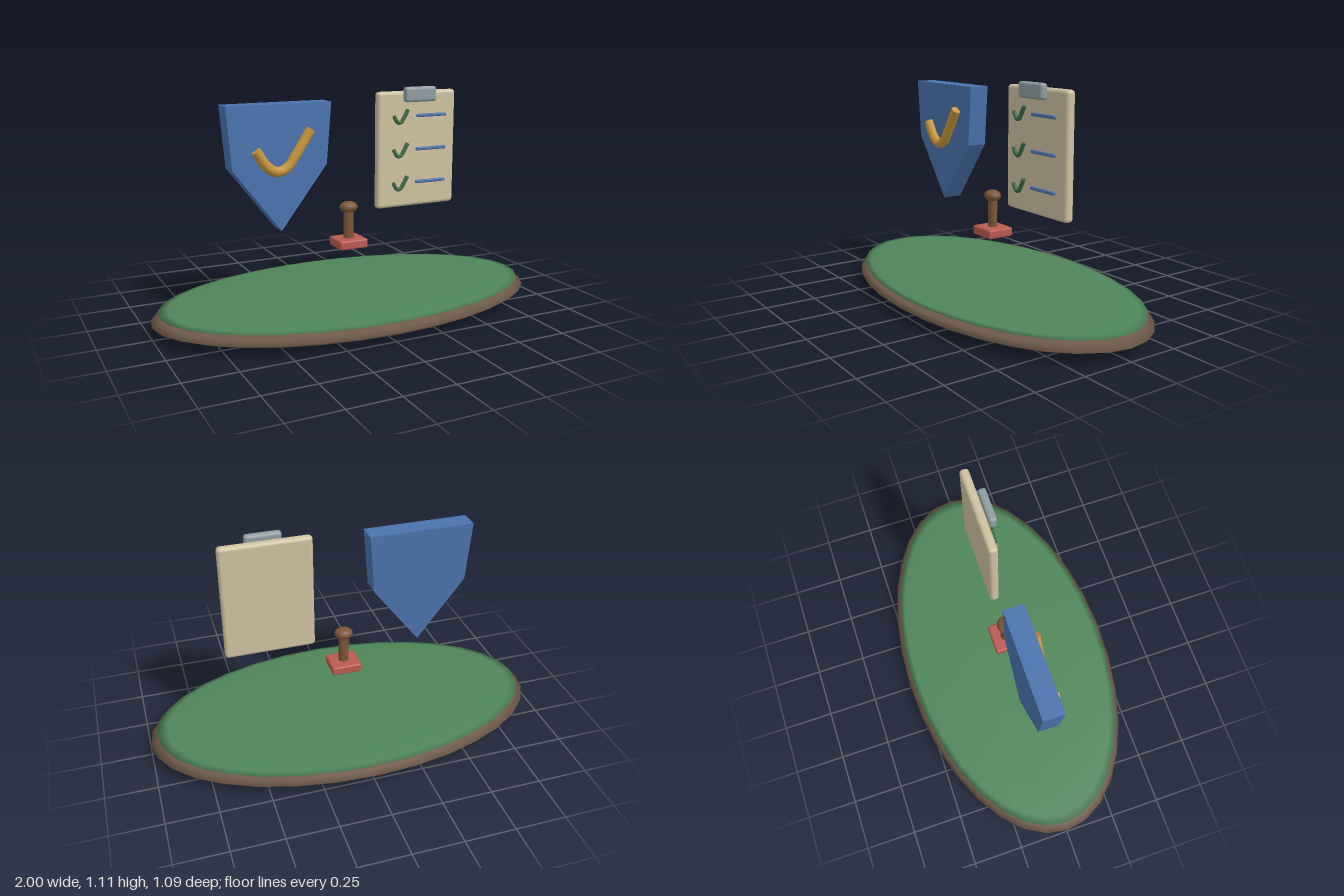
import * as THREE from 'three';
import { RoundedBoxGeometry } from 'three/addons/geometries/RoundedBoxGeometry.js';

export function createModel() {
  const model = new THREE.Group();
  const mat = (color) => new THREE.MeshStandardMaterial({ color });
  const brown = mat(0x6f5a48), green = mat(0x4f8558), blue = mat(0x4a72ad), gold = mat(0xc8963c);
  const cream = mat(0xcfc1a0), steel = mat(0x8f9da1), red = mat(0xb95a50), wood = mat(0x7d5538);
  const darkGreen = mat(0x3f6b45);

  const add = (name, geometry, material, x, y, z, parent = model) => {
    const mesh = new THREE.Mesh(geometry, material);
    mesh.name = name;
    mesh.position.set(x, y, z);
    parent.add(mesh);
    return mesh;
  };
  const group = (name) => {
    const g = new THREE.Group();
    g.name = name;
    model.add(g);
    return g;
  };
  const ellipsoid = (rx, ry, rz, w, h) => new THREE.SphereGeometry(1, w, h).scale(rx, ry, rz);

  // Tick mark tube with closed ends; origin at the bottom of the bend
  const tickPoints = [[-0.1, 0.105], [-0.05, 0.03], [0, 0], [0.05, 0.015], [0.09, 0.066], [0.173, 0.19]];
  const addTick = (name, sx, sy, radius, material, x, y, z, parent) => {
    const tick = new THREE.Group();
    tick.name = name;
    tick.position.set(x, y, z);
    parent.add(tick);
    const curve = new THREE.CatmullRomCurve3(tickPoints.map(([px, py]) => new THREE.Vector3(px * sx, py * sy, 0)));
    add('tickStroke', new THREE.TubeGeometry(curve, 14, radius, 8), material, 0, 0, 0, tick);
    for (const t of [0, 1]) {
      const p = curve.getPointAt(t);
      const cap = add('tickEnd', new THREE.CircleGeometry(radius, 8), material, p.x, p.y, 0, tick);
      const dir = curve.getTangentAt(t).multiplyScalar(t ? 1 : -1);
      cap.quaternion.setFromUnitVectors(new THREE.Vector3(0, 0, 1), dir);
    }
  };

  // Oval table with felt top
  add('tableBase', ellipsoid(1, 0.06, 0.545, 32, 10), brown, 0, 0.061, 0);
  add('feltTop', ellipsoid(0.965, 0.018, 0.523, 32, 10), green, 0, 0.104, 0);

  // Shield with raised tick
  const shield = group('shield');
  const outline = new THREE.Shape(
    [[-0.635, 1.06], [-0.61, 0.765], [-0.375, 0.46], [-0.14, 0.765], [-0.115, 1.06]]
      .map(([x, y]) => new THREE.Vector2(x, y)));
  add('shieldPlate', new THREE.ExtrudeGeometry(outline, { depth: 0.1, bevelEnabled: false }), blue, 0, 0, -0.05, shield);
  addTick('shieldTick', 1, 1, 0.025, gold, -0.4, 0.748, 0.064, shield);

  // Clipboard with three checklist rows
  const clipboard = group('clipboard');
  add('board', new RoundedBoxGeometry(0.445, 0.585, 0.046, 3, 0.018), cream, 0.3725, 0.7975, 0, clipboard);
  add('clip', new RoundedBoxGeometry(0.177, 0.075, 0.04, 3, 0.015), steel, 0.3725, 1.075, 0.043, clipboard);
  for (let i = 0; i < 3; i++) {
    const y = 0.968 - i * 0.168;
    addTick('rowTick', 0.29, 0.34, 0.01, darkGreen, 0.258, y - 0.032, 0.04, clipboard);
    add('rowLine', new RoundedBoxGeometry(0.17, 0.016, 0.016, 2, 0.005), blue, 0.445, y, 0.037, clipboard);
  }

  // Hand stamp
  const stamp = group('stamp');
  add('stampBlock', new RoundedBoxGeometry(0.152, 0.046, 0.137, 3, 0.01), red, 0, 0.351, 0, stamp);
  add('stampHandle', new THREE.CylinderGeometry(1, 1, 0.15, 16).scale(0.026, 1, 0.022), wood, 0, 0.445, 0, stamp);
  add('stampKnob', ellipsoid(0.047, 0.029, 0.04, 16, 10), wood, 0, 0.53, 0, stamp);

  return model;
}
